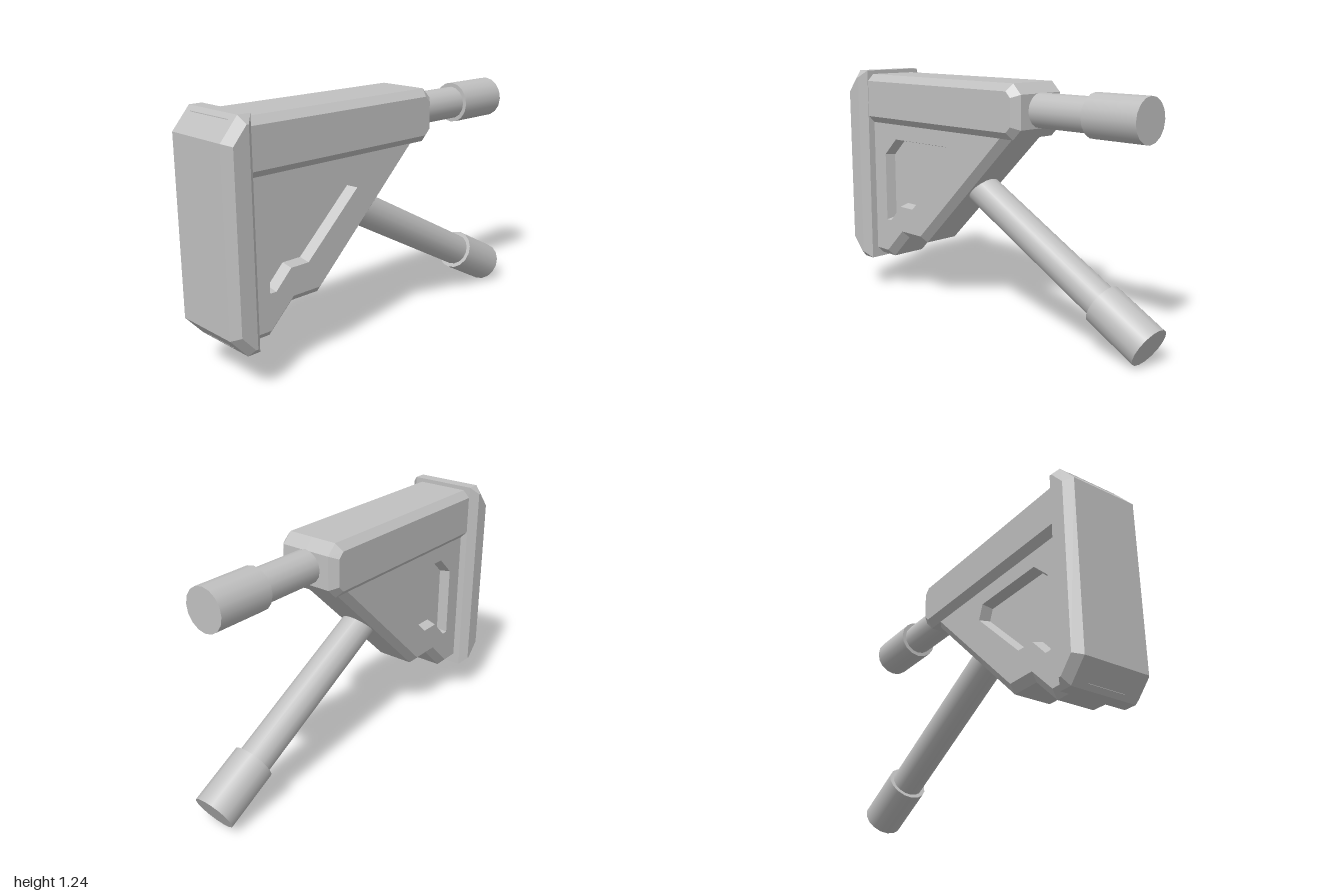
import * as THREE from 'three';

// Miter-inset of a counter-clockwise outline
function inset(pts, d) {
  const n = pts.length;
  const normal = (a, b) => new THREE.Vector2(a[1] - b[1], b[0] - a[0]).normalize();
  return pts.map((p, i) => {
    const n1 = normal(pts[(i + n - 1) % n], p);
    const n2 = normal(p, pts[(i + 1) % n]);
    const k = d / (1 + n1.dot(n2));
    return [p[0] + (n1.x + n2.x) * k, p[1] + (n1.y + n2.y) * k];
  });
}

// Slab in the xy plane with bevelled sides, mirrored in z, with an optional pocket on both faces
function bevelledSlab(outline, half, bevel, pocket) {
  const pos = [];
  const tri = (a, b, c) => {
    pos.push(...a, ...b, ...c);
    for (const p of [a, c, b]) pos.push(p[0], p[1], -p[2]);
  };
  const strip = (lo, zLo, hi, zHi) => lo.forEach((p, i) => {
    const j = (i + 1) % lo.length;
    const a = [...p, zLo], b = [...lo[j], zLo], c = [...hi[j], zHi], d = [...hi[i], zHi];
    tri(a, b, c);
    tri(a, c, d);
  });
  const cap = (loop, z, hole) => {
    const v = (l) => l.map((p) => new THREE.Vector2(...p));
    const all = hole ? [...loop, ...hole] : loop;
    for (const f of THREE.ShapeUtils.triangulateShape(v(loop), hole ? [v(hole)] : [])) {
      let [a, b, c] = f.map((k) => [...all[k], z]);
      const area = (b[0] - a[0]) * (c[1] - a[1]) - (b[1] - a[1]) * (c[0] - a[0]);
      if (area < 0) [b, c] = [c, b];
      tri(a, b, c);
    }
  };

  const face = inset(outline, bevel);
  strip(outline, 0, outline, half - bevel);
  strip(outline, half - bevel, face, half);
  cap(face, half, pocket && pocket.outline);
  if (pocket) {
    const floor = inset(pocket.outline, pocket.taper);
    const z = half - pocket.depth;
    // Walls face inward, so the loops run backwards
    strip([...pocket.outline].reverse(), half, [...floor].reverse(), z);
    // Reversed walls run front to back: their winding is corrected below
    const count = pocket.outline.length * 2 * 18;
    const start = pos.length - count;
    for (let i = start; i < pos.length; i += 9) {
      for (let k = 0; k < 3; k++) {
        [pos[i + 3 + k], pos[i + 6 + k]] = [pos[i + 6 + k], pos[i + 3 + k]];
      }
    }
    // Walls go from rim down to floor, flipped once more to look into the pocket
    for (let i = start; i < pos.length; i += 9) {
      const a = new THREE.Vector3().fromArray(pos, i);
      const b = new THREE.Vector3().fromArray(pos, i + 3);
      const c = new THREE.Vector3().fromArray(pos, i + 6);
      const nrm = b.clone().sub(a).cross(c.clone().sub(a));
      // A tapered wall always leans towards the open face
      if (nrm.z * a.z < 0) {
        for (let k = 0; k < 3; k++) {
          [pos[i + 3 + k], pos[i + 6 + k]] = [pos[i + 6 + k], pos[i + 3 + k]];
        }
      }
    }
    cap(floor, z);
  }

  const geo = new THREE.BufferGeometry();
  geo.setAttribute('position', new THREE.Float32BufferAttribute(pos, 3));
  geo.computeVertexNormals();
  return geo;
}

export function createModel() {
  const group = new THREE.Group();
  const grey = new THREE.MeshStandardMaterial({ color: 0xc0c0c0 });
  grey.name = 'grey';

  const add = (name, geo) => {
    const mesh = new THREE.Mesh(geo, grey);
    mesh.name = name;
    group.add(mesh);
    return mesh;
  };

  // Round bar between two points in the xy plane
  const bar = (name, from, to, radius) => {
    const a = new THREE.Vector3(...from, 0), b = new THREE.Vector3(...to, 0);
    const dir = b.clone().sub(a);
    const mesh = add(name, new THREE.CylinderGeometry(radius, radius, dir.length(), 16));
    mesh.position.copy(a).add(b).multiplyScalar(0.5);
    mesh.quaternion.setFromUnitVectors(new THREE.Vector3(0, 1, 0), dir.normalize());
  };

  // Tall end plate
  add('endPlate', bevelledSlab([
    [-1, 0.285], [-0.91, 0.185], [-0.845, 0.185],
    [-0.845, 1.245], [-0.91, 1.245], [-1, 1.14],
  ], 0.21, 0.037));

  // Upper beam, its back end hidden inside the plate
  add('upperBeam', bevelledSlab([
    [-0.93, 0.96], [0.235, 0.96], [0.285, 1.01],
    [0.285, 1.175], [0.235, 1.225], [-0.93, 1.225],
  ], 0.17, 0.036));

  // Triangular web with a stepped lower edge and a pocket on each side
  add('lowerWeb', bevelledSlab([
    [-0.93, 0.205], [-0.735, 0.205], [-0.602, 0.335],
    [-0.445, 0.335], [0.24, 1.0], [0.24, 1.05], [-0.93, 1.05],
  ], 0.135, 0.037, {
    outline: [
      [-0.75, 0.42], [-0.715, 0.42], [-0.627, 0.51], [-0.525, 0.51],
      [-0.215, 0.805], [-0.245, 0.88], [-0.655, 0.88], [-0.75, 0.79],
    ],
    depth: 0.055,
    taper: 0.013,
  }));

  // Upper rod and its thicker tip
  bar('upperRod', [0.2, 1.095], [0.65, 1.095], 0.084);
  bar('upperTip', [0.615, 1.095], [0.91, 1.095], 0.105);

  // Slanted lower rod and its thicker tip
  bar('lowerRod', [-0.154, 0.69], [0.71, 0.223], 0.084);
  bar('lowerTip', [0.6825, 0.2375], [0.945, 0.0975], 0.105);

  return group;
}
